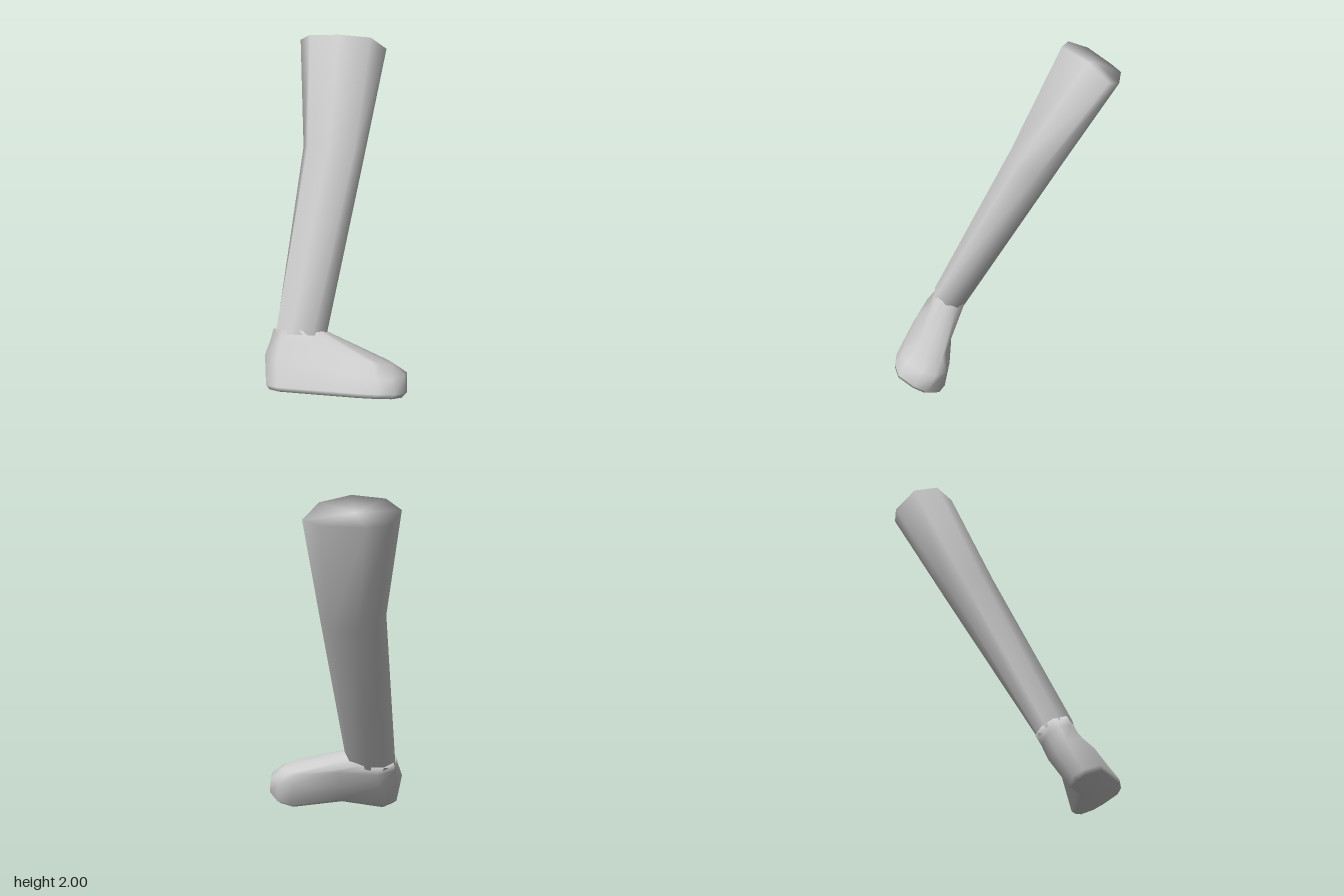
import * as THREE from 'three';

const V = (x, y, z) => new THREE.Vector3(x, y, z);

// Smooth closed skin over rings (listed bottom to top, counter-clockwise from above)
function loft(name, rings, material) {
  const n = rings[0].length, last = (rings.length - 1) * n;
  const centre = ring => ring.reduce((s, p) => s.add(p), V(0, 0, 0)).divideScalar(n);
  const points = [...rings.flat(), centre(rings[0]), centre(rings[rings.length - 1])];
  const index = [];
  for (let i = 0; i < n; i++) {
    const k = (i + 1) % n;
    for (let j = 0; j < last; j += n) index.push(j + i, j + k, j + n + k, j + i, j + n + k, j + n + i);
    index.push(last + n, k, i, last + n + 1, last + i, last + k);
  }
  const geometry = new THREE.BufferGeometry().setFromPoints(points);
  geometry.setIndex(index);
  geometry.computeVertexNormals();
  const mesh = new THREE.Mesh(geometry, material);
  mesh.name = name;
  return mesh;
}

export function createModel() {
  const group = new THREE.Group();
  group.name = 'leg';
  const material = new THREE.MeshStandardMaterial({ color: 0xcccccc });

  // Tilted frame of the foot: along the sole, across it, and up from it
  const origin = V(-0.36, 0.025, 0.335);
  const up = V(0.09, 1, -0.5).normalize();
  const along = V(0.9, 0.124, 0.41).normalize();
  const across = along.clone().cross(up).normalize();
  const place = ([a, b, h]) => origin.clone()
    .addScaledVector(along, a).addScaledVector(across, b).addScaledVector(up, h);

  // Foot: sole outline from the heel round the outer side, toes and inner side
  const sole = [[-0.03, 0.05], [0.07, 0.13], [0.3, 0.13], [0.567, 0.128], [0.68, 0.108], [0.77, 0.06],
    [0.8, -0.05], [0.79, -0.13], [0.72, -0.2], [0.627, -0.215], [0.315, -0.08], [0.033, -0.07], [-0.03, -0.01]];
  const sides = [[-0.045, 0.05, 0.2], [0.06, 0.12, 0.2], [0.28, 0.125, 0.18], [0.55, 0.115, 0.12],
    [0.67, 0.1, 0.11], [0.75, 0.055, 0.11], [0.795, -0.05, 0.13], [0.785, -0.13, 0.14], [0.72, -0.18, 0.16],
    [0.62, -0.175, 0.17], [0.32, -0.115, 0.17], [0.07, -0.1, 0.2], [-0.03, -0.03, 0.2]];
  const instep = [[-0.01, 0.05, 0.3], [0.07, 0.1, 0.3], [0.29, 0.085, 0.28], [0.53, 0.06, 0.21],
    [0.63, 0.05, 0.195], [0.68, 0.03, 0.185], [0.72, -0.03, 0.185], [0.72, -0.08, 0.19], [0.67, -0.12, 0.205],
    [0.6, -0.125, 0.22], [0.36, -0.095, 0.26], [0.1, -0.1, 0.3], [0, -0.03, 0.3]];
  const ankle = [[0, 0.04], [0.08, 0.1], [0.2, 0.1], [0.27, 0.07], [0.3, 0.04], [0.31, 0.03], [0.315, 0],
    [0.315, -0.02], [0.305, -0.04], [0.28, -0.065], [0.2, -0.1], [0.08, -0.1], [0.01, -0.04]];
  group.add(loft('foot', [
    sole.map(([a, b]) => place([0.38 + (a - 0.38) * 0.95, b * 0.93, 0])),
    sole.map(([a, b]) => place([a, b, 0.025])),
    sides.map(place),
    instep.map(place),
    ankle.map(([a, b]) => place([a, b, 0.36])),
  ], material));

  // Leg: oval rings at the ankle and knee, an irregular one at the thigh
  const angles = [0, -42, -90, -130, -172, 145, 98, 48].map(THREE.MathUtils.degToRad);
  const oval = (c, e1, e2) => angles.map(t => c.clone()
    .addScaledVector(e1, 1.03 * Math.cos(t)).addScaledVector(e2, 1.03 * Math.sin(t)));
  const thigh = [[0.41, 1.87, -0.51], [0.34, 1.84, -0.6], [0.12, 1.83, -0.705], [-0.01, 1.84, -0.7],
    [-0.11, 1.92, -0.59], [-0.065, 1.98, -0.45], [0.1, 2, -0.35], [0.3, 1.96, -0.43]];
  group.add(loft('lowerLeg', [
    oval(V(-0.19, 0.345, 0.255), along.clone().multiplyScalar(0.16), across.clone().multiplyScalar(0.105)),
    oval(V(0.055, 1.32, -0.22), V(0.175, -0.02, 0.05), V(-0.02, 0.065, 0.135)),
    thigh.map(p => V(...p)),
  ], material));

  return group;
}
